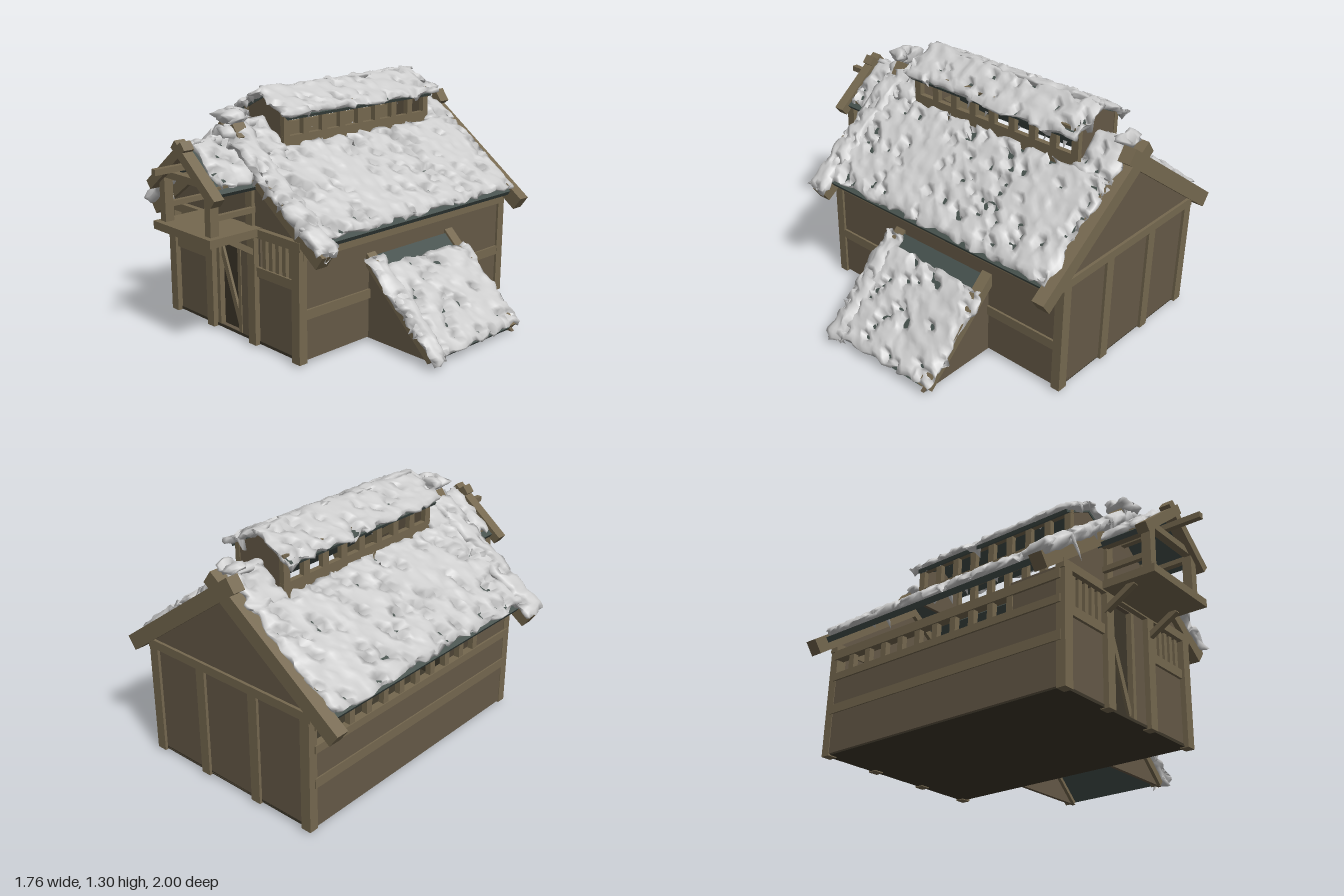
import * as THREE from 'three';
import { mergeVertices } from 'three/addons/utils/BufferGeometryUtils.js';

const mat = (color) => new THREE.MeshStandardMaterial({ color, roughness: 0.9, side: THREE.DoubleSide });
const CX = -0.155; // ridge line of the house

function rng(seed) {
  let s = seed * 7919 + 13;
  return () => ((s = (s * 16807) % 2147483647) / 2147483647);
}

// smooth 3D value noise, 0..1
function hash(x, y, z) {
  const s = Math.sin(x * 127.1 + y * 311.7 + z * 74.7) * 43758.5453;
  return s - Math.floor(s);
}
function noise(x, y, z) {
  const c = [x, y, z].map(Math.floor);
  const f = [x - c[0], y - c[1], z - c[2]].map((t) => t * t * (3 - 2 * t));
  let v = 0;
  for (let i = 0; i < 8; i++) {
    const o = [i & 1, (i >> 1) & 1, i >> 2];
    const w = o.reduce((p, b, k) => p * (b ? f[k] : 1 - f[k]), 1);
    v += w * hash(c[0] + o[0], c[1] + o[1], c[2] + o[2]);
  }
  return v;
}

// lumpy slab with ragged edges and small pits sunk through its top
function thatchGeometry(len, thick, width, seed) {
  const step = 0.021;
  let geo = new THREE.BoxGeometry(len, thick, width, Math.ceil(len / step), 2, Math.ceil(width / step));
  const rand = rng(seed);
  const pits = Array.from({ length: Math.round(len * width * 100) }, () => ({
    x: (rand() - 0.5) * len, z: (rand() - 0.5) * width,
    rx: 0.014 + rand() * 0.013, rz: 0.013 + rand() * 0.014,
  }));
  const p = geo.attributes.position;
  for (let i = 0; i < p.count; i++) {
    const x = p.getX(i), y = p.getY(i), z = p.getZ(i);
    const n = (f, k) => noise(x * f + seed * 3.7, y * f + k, z * f + seed * 1.3) - 0.5;
    const edge = Math.max(0, Math.min(len / 2 - Math.abs(x), width / 2 - Math.abs(z)));
    const round = 0.45 + 0.55 * Math.sqrt(Math.min(1, edge / 0.025));
    const rag = Math.max(0.25, 1 - edge / 0.05);
    let ny = y * round + n(24, 5) * 0.022;
    if (y > 0) {
      ny += n(45, 9) * 0.012;
      for (const q of pits) {
        const d = ((x - q.x) / q.rx) ** 2 + ((z - q.z) / q.rz) ** 2;
        if (d < 1) ny -= thick * 1.35 * (1 - d * d);
      }
    }
    p.setXYZ(i, x + n(22, 21) * 0.055 * rag, ny, z + n(22, 37) * 0.055 * rag);
  }
  geo.deleteAttribute('normal');
  geo.deleteAttribute('uv');
  geo = mergeVertices(geo, 1e-5);
  geo.computeVertexNormals();
  return geo;
}

export function createModel() {
  const root = new THREE.Group();
  const wood = mat(0x75684f), panel = mat(0x655947), slate = mat(0x45504c), dark = mat(0x3d372a), straw = mat(0xcccccc);
  let seed = 1;

  const add = (name, geo, m) => {
    const mesh = new THREE.Mesh(geo, m);
    mesh.name = name;
    root.add(mesh);
    return mesh;
  };
  // box from its limits
  const box = (name, x0, x1, y0, y1, z0, z1, m = wood) => {
    const b = add(name, new THREE.BoxGeometry(x1 - x0, y1 - y0, z1 - z0), m);
    b.position.set((x0 + x1) / 2, (y0 + y1) / 2, (z0 + z1) / 2);
    return b;
  };
  // sloped board or thatch whose centre line runs between two points in the xy plane
  const slope = (name, xa, ya, xb, yb, t, z0, z1, m) => {
    if (xa > xb) [xa, ya, xb, yb] = [xb, yb, xa, ya];
    const len = Math.hypot(xb - xa, yb - ya);
    const geo = m === straw ? thatchGeometry(len, t, z1 - z0, seed++) : new THREE.BoxGeometry(len, t, z1 - z0);
    const s = add(name, geo, m);
    s.position.set((xa + xb) / 2, (ya + yb) / 2, (z0 + z1) / 2);
    s.rotation.z = Math.atan2(yb - ya, xb - xa);
  };
  // mirrored pair of slopes: height h at the ridge, falling by k per unit
  const gable = (name, h, k, d0, d1, t, z0, z1, m, cx = CX) => {
    for (const s of [-1, 1]) slope(name, cx + s * d0, h - k * d0, cx + s * d1, h - k * d1, t, z0, z1, m);
  };
  // flat outline with rectangular holes, extruded along z
  const plate = (name, pts, z0, z1, m, holes = []) => {
    const shape = new THREE.Shape(pts.map((p) => new THREE.Vector2(...p)));
    for (const [a, b, c, d] of holes) {
      shape.holes.push(new THREE.Path([[a, c], [a, d], [b, d], [b, c]].map((p) => new THREE.Vector2(...p))));
    }
    add(name, new THREE.ExtrudeGeometry(shape, { depth: z1 - z0, bevelEnabled: false }), m).position.z = z0;
  };

  // floor, end walls
  box('floor', -0.67, 0.36, 0.005, 0.02, -0.98, 0.55, dark);
  const wall = [[-0.67, 0.01], [0.36, 0.01], [0.36, 0.64], [CX, 1.03], [-0.67, 0.64]];
  plate('frontWall', wall, 0.52, 0.545, panel,
    [[-0.64, -0.39, 0.42, 0.58], [0.06, 0.33, 0.42, 0.58], [-0.29, -0.1, 0.02, 0.575]]);
  plate('backWall', wall, -0.98, -0.955, panel);
  for (const [z0, z1] of [[0.525, 0.575], [-0.995, -0.945]]) {
    for (const x of [-0.655, -0.33, 0.02, 0.355]) box('wallPost', x - 0.028, x + 0.028, 0, 0.6, z0, z1);
    box('tieBeam', -0.69, 0.39, 0.58, 0.625, z0, z1);
  }

  // front wall rails, window slats and door
  for (const [a, b] of [[-0.64, -0.35], [0.04, 0.34]]) {
    box('windowSill', a, b, 0.37, 0.42, 0.53, 0.56);
    for (let i = 1; i < 6; i++) {
      const x = a + 0.005 + i * 0.05;
      box('windowSlat', x - 0.013, x + 0.013, 0.41, 0.59, 0.525, 0.55);
    }
  }
  box('door', -0.29, -0.1, 0.02, 0.575, 0.505, 0.52, dark);
  for (const x of [-0.283, -0.107]) box('doorFrame', x - 0.012, x + 0.012, 0.02, 0.575, 0.515, 0.55);
  slope('doorBrace', -0.275, 0.45, -0.12, 0.04, 0.03, 0.515, 0.535, wood);
  for (const x of [-0.31, 0.0]) box('gablePost', x - 0.025, x + 0.025, 0.62, 0.93, 0.535, 0.565);
  box('hatch', -0.28, -0.03, 0.63, 0.89, 0.54, 0.555, panel);

  // side walls: solid beside the lean-to, slatted opening on the other side
  box('leftWall', 0.345, 0.37, 0.01, 0.62, -0.97, 0.54, panel);
  box('rightWall', -0.68, -0.655, 0.01, 0.43, -0.97, 0.54, panel);
  box('rightEndPanel', -0.68, -0.655, 0.43, 0.6, 0.25, 0.54, panel);
  for (const x of [-0.667, 0.362]) {
    box('wallPlate', x - 0.025, x + 0.025, 0.53, 0.58, -0.96, 0.55);
    box('sideRail', x - 0.02, x + 0.02, 0.225, 0.275, -0.96, 0.55);
  }
  box('openingSill', -0.69, -0.65, 0.41, 0.45, -0.96, 0.55);
  for (let i = 0; i < 10; i++) {
    const z = -0.83 + i * 0.12;
    box('openingPost', -0.685, -0.655, 0.44, 0.54, z - 0.018, z + 0.018);
  }

  // main roof: lower sheets, plus ridge pieces in front of and behind the ridge vent
  gable('roofBoard', 1.055, 0.72, 0.14, 0.62, 0.03, -0.93, 0.5, slate);
  gable('roofThatch', 1.095, 0.72, 0.15, 0.625, 0.048, -0.95, 0.57, straw);
  for (const [z0, z1] of [[0.32, 0.57], [-0.95, -0.74]]) {
    gable('ridgeBoard', 1.055, 0.72, -0.01, 0.16, 0.03, Math.max(z0, -0.93), Math.min(z1, 0.5), slate);
    gable('ridgeThatch', 1.1, 0.72, -0.015, 0.175, 0.05, z0, z1, straw);
  }
  gable('frontThatchRoll', 1.105, 0.72, 0.0, 0.7, 0.065, 0.47, 0.605, straw);
  slope('frontRidgeTuft', -0.22, 1.16, -0.08, 1.16, 0.065, 0.47, 0.6, straw);
  slope('backRidgeTuft', -0.21, 1.14, -0.1, 1.14, 0.05, -0.95, -0.88, straw);
  gable('bargeBoard', 1.04, 0.72, -0.075, 0.675, 0.08, -1, -0.932, wood);
  gable('bargeBoard', 1.04, 0.72, -0.075, 0.675, 0.08, 0.5, 0.572, wood);

  // ridge vent
  for (const s of [-1, 1]) {
    const x = CX + s * 0.142;
    box('ventSill', x - 0.014, x + 0.014, 0.95, 1.04, -0.75, 0.33);
    box('ventPlate', x - 0.014, x + 0.014, 1.145, 1.18, -0.75, 0.33);
    for (let i = 0; i < 9; i++) {
      const z = 0.309 - i * 0.1298;
      box('ventPost', x - 0.014, x + 0.014, 1.03, 1.15, z - 0.02, z + 0.02);
    }
  }
  const vent = [[CX - 0.14, 0.95], [CX + 0.14, 0.95], [CX + 0.14, 1.165], [CX, 1.235], [CX - 0.14, 1.165]];
  plate('ventEnd', vent, 0.305, 0.325, panel);
  plate('ventEnd', vent, -0.745, -0.725, panel);
  gable('ventBoard', 1.232, 0.5, -0.005, 0.19, 0.018, -0.74, 0.33, slate);
  gable('ventThatch', 1.258, 0.5, -0.012, 0.205, 0.04, -0.77, 0.36, straw);

  // loft balcony with its own small roof and hoist beam
  box('balconyDeck', -0.39, 0.08, 0.588, 0.63, 0.55, 0.865);
  for (const x of [-0.345, 0.025]) {
    box('balconyPost', x - 0.022, x + 0.022, 0.6, 0.87, 0.785, 0.835);
    box('balconyRail', x - 0.012, x + 0.012, 0.7, 0.728, 0.55, 0.8);
    box('balconyPlate', x - 0.022, x + 0.022, 0.835, 0.87, 0.55, 0.83);
    const strut = box('balconyBrace', x - 0.016, x + 0.016, 0.525, 0.555, 0.54, 0.74);
    strut.rotation.x = -0.54;
  }
  box('balconyTie', -0.345, 0.025, 0.86, 0.895, 0.79, 0.83);
  box('hoistBeam', -0.18, -0.15, 0.927, 0.957, 0.53, 1);
  gable('balconyBoard', 1.01, 0.8, -0.005, 0.225, 0.025, 0.52, 0.81, slate, -0.163);
  gable('balconyThatch', 1.045, 0.8, -0.01, 0.215, 0.045, 0.55, 0.78, straw, -0.163);
  gable('balconyBarge', 1.02, 0.8, -0.04, 0.265, 0.05, 0.8, 0.86, wood, -0.163);

  // lean-to shed on the left side
  const shedY = (x, h) => h - 0.93 * (x - 0.6);
  const shed = (name, h, x0, x1, t, z0, z1, m) => slope(name, x0, shedY(x0, h), x1, shedY(x1, h), t, z0, z1, m);
  for (const [z0, z1] of [[0.07, 0.09], [-0.53, -0.51]]) {
    plate('shedWall', [[0.36, 0.005], [0.835, 0.005], [0.36, 0.44]], z0, z1, panel);
    shed('shedBarge', 0.22, 0.355, 0.815, 0.055, z0 - 0.02, z1 + 0.02, wood);
  }
  shed('shedBoard', 0.225, 0.37, 0.82, 0.025, -0.5, 0.06, slate);
  shed('shedThatch', 0.262, 0.45, 0.835, 0.045, -0.56, 0.12, straw);
  shed('shedThatchRoll', 0.268, 0.405, 0.86, 0.055, 0.035, 0.14, straw);
  return root;
}
